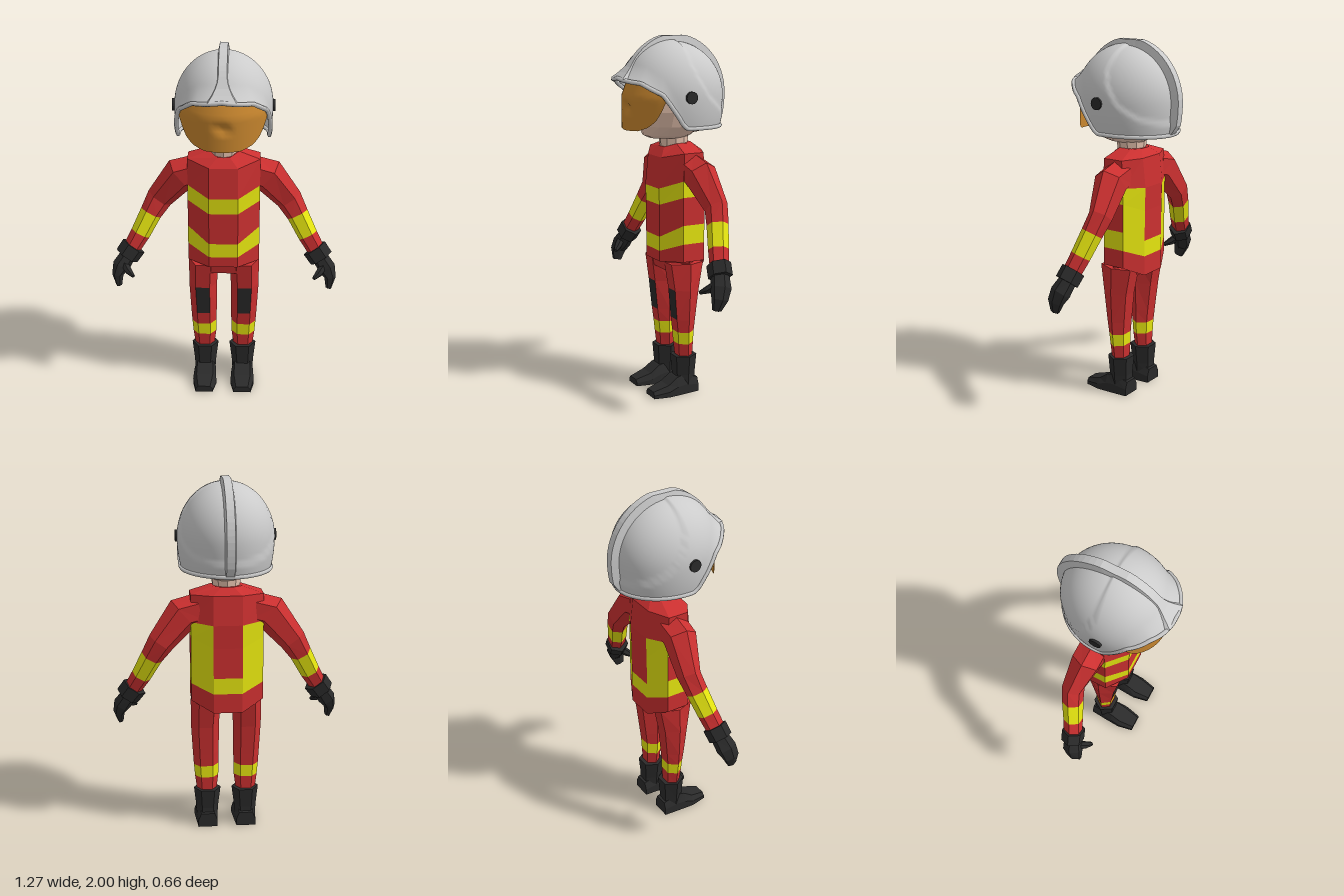
import * as THREE from 'three';

const RED = 0xcc3030, YELLOW = 0xe6e610, BLACK = 0x2a2a2a, SKIN = 0xe8c4b0,
  HAIR = 0x5a3a2c, AMBER = 0xc8862e, GREY = 0xcccccc;
const V = (x, y, z) => new THREE.Vector3(x, y, z);

function makeMesh(name, geometry, color, flat = true, doubleSided = false) {
  const mesh = new THREE.Mesh(geometry, new THREE.MeshStandardMaterial({
    color, flatShading: flat, side: doubleSided ? THREE.DoubleSide : THREE.FrontSide }));
  mesh.name = name;
  return mesh;
}

function soup(points) {
  const g = new THREE.BufferGeometry().setFromPoints(points);
  g.computeVertexNormals();
  return g;
}

// Skin closed rings into a capped solid, one mesh per colour; paint(band, column) picks the colour
function loft(name, rings, paint) {
  const byColor = new Map(), n = rings[0].length, last = rings.length - 1;
  const add = (color, ...pts) => {
    if (!byColor.has(color)) byColor.set(color, []);
    byColor.get(color).push(...pts);
  };
  const pick = typeof paint === 'function' ? paint : () => paint;
  const centre = r => r.reduce((s, p) => s.add(p), V(0, 0, 0)).divideScalar(n);
  const c0 = centre(rings[0]), c1 = centre(rings[last]);
  for (let j = 0; j < n; j++) {
    const k = (j + 1) % n;
    for (let i = 0; i < last; i++) {
      const a = rings[i][j], b = rings[i][k], c = rings[i + 1][k], d = rings[i + 1][j];
      add(pick(i, j), a, b, c, a, c, d);
    }
    add(pick(0, -1), c0, rings[0][k], rings[0][j]);
    add(pick(last - 1, -1), c1, rings[last][j], rings[last][k]);
  }
  const group = new THREE.Group();
  group.name = name;
  for (const [color, pts] of byColor) group.add(makeMesh(name, soup(pts), color));
  return group;
}

// Six-sided limb along stations [x, y, z, radius across, radius in depth], flat side to the front
function limb(name, stations, paint) {
  const c = stations.map(s => V(s[0], s[1], s[2]));
  const rings = stations.map((s, i) => {
    const d = c[Math.min(i + 1, c.length - 1)].clone().sub(c[Math.max(i - 1, 0)]).normalize();
    const v = V(0, 0, 1).addScaledVector(d, -d.z).normalize();
    const u = d.clone().cross(v);
    return Array.from({ length: 6 }, (_, j) => {
      const a = (j - 0.5) * Math.PI / 3;
      return c[i].clone().addScaledVector(v, Math.cos(a) * s[4] / 0.866).addScaledVector(u, Math.sin(a) * s[3]);
    });
  });
  return loft(name, rings, paint);
}

// Mirrored copy across x = 0 with the winding put right
function mirrored(group) {
  const copy = group.clone(true);
  copy.traverse(o => {
    if (!o.isMesh) return;
    const p = o.geometry.attributes.position, pts = [];
    for (let i = 0; i < p.count; i += 3)
      for (const k of [0, 2, 1]) pts.push(V(-p.getX(i + k), p.getY(i + k), p.getZ(i + k)));
    o.geometry = soup(pts);
  });
  return copy;
}

function lerpTable(table, x) {
  for (let i = 1; i < table.length; i++) if (x <= table[i][0]) {
    const [x0, y0] = table[i - 1], [x1, y1] = table[i];
    return y0 + (y1 - y0) * Math.max(0, (x - x0) / (x1 - x0));
  }
  return table[table.length - 1][1];
}

// Surface from a grid of points f(i, j)
function gridSurface(rows, cols, f) {
  const pts = [], index = [];
  for (let i = 0; i <= rows; i++) for (let j = 0; j <= cols; j++) {
    pts.push(f(i / rows, j / cols));
    if (i < rows && j < cols) {
      const a = i * (cols + 1) + j, b = a + cols + 1;
      index.push(a, b, b + 1, a, b + 1, a + 1);
    }
  }
  const g = new THREE.BufferGeometry().setFromPoints(pts);
  g.setIndex(index);
  g.computeVertexNormals();
  return g;
}

// Helmet shell: azimuth a (0 = front), u = angle down from the top
const MID = 1.68, RISE = 0.3;
const EDGE = [[0, 1.78], [0.6, 1.76], [1.0, 1.7], [1.42, 1.52], [Math.PI, 1.51]];
const PANEL = [[-0.28, 1.57], [-0.2, 1.6], [-0.1, 1.67], [-0.03, 1.78], [0, 1.88]];
function edgeAngle(a) {
  const e = lerpTable(EDGE, Math.abs(a));
  return e > MID ? Math.acos((e - MID) / RISE) : Math.PI / 2 + (MID - e) / RISE;
}
function shell(a, u, lift = 0) {
  const over = Math.max(0, u - Math.PI / 2);
  const y = over ? MID - over * RISE : MID + RISE * Math.cos(u);
  const c = Math.cos(a), near = Math.max(0, 1 - (edgeAngle(a) - u) / 0.3);
  let r = over ? 1 - 0.25 * over * over : Math.sin(u);
  r += 0.13 * near * near * Math.max(0, c) ** 2;
  const z = r * c * 0.3;
  // rear panel sits slightly deeper than the front
  const sunk = THREE.MathUtils.smoothstep(y - lerpTable(PANEL, z), 0, 0.025) * THREE.MathUtils.smoothstep(-z, 0, 0.02);
  const k = lift ? 1 : 1 - 0.03 * sunk;
  return V(r * Math.sin(a) * 0.265 * k, MID + (y - MID) * (y > MID ? k : 1) + lift * Math.cos(u), (z + lift * c * Math.sin(u)) * k);
}

function buildHelmet() {
  const helmet = new THREE.Group();
  helmet.name = 'helmet';
  const angle = t => (t * 2 - 1) * Math.PI;
  helmet.add(makeMesh('helmetShell', gridSurface(32, 96, (s, t) => shell(angle(t), s * edgeAngle(angle(t)))), GREY, false, true));
  const rim = Array.from({ length: 64 }, (_, i) => shell(angle(i / 64), edgeAngle(angle(i / 64))));
  helmet.add(makeMesh('helmetRim', new THREE.TubeGeometry(new THREE.CatmullRomCurve3(rim, true), 128, 0.012, 6, true), GREY, false));
  // crest from brim over the top to the nape, flared at the brim
  const rings = [], N = 32, front = edgeAngle(0), back = edgeAngle(Math.PI);
  for (let i = 0; i <= N; i++) {
    const t = i / N, w = front - t * (front + back), a = w >= 0 ? 0 : Math.PI;
    const h = 0.004 + 0.03 * THREE.MathUtils.smoothstep(t, 0.04, 0.45) * (t > 0.93 ? (1 - t) / 0.07 : 1);
    const inner = shell(a, Math.abs(w), -0.02), outer = shell(a, Math.abs(w), Math.min(h, 0.03));
    outer.y = Math.min(outer.y, 2);
    const flare = 0.05 * Math.max(0, 1 - t / 0.13) ** 2, wo = 0.022 + flare, wi = 0.032 + flare;
    rings.push([V(-wi, inner.y, inner.z), V(wi, inner.y, inner.z), V(wo, outer.y, outer.z), V(-wo, outer.y, outer.z)].reverse());
  }
  helmet.add(loft('helmetCrest', rings, GREY));
  for (const s of [-1, 1]) {
    const knob = makeMesh('visorPivot', new THREE.CylinderGeometry(0.033, 0.033, 0.03, 16), BLACK);
    knob.rotation.z = Math.PI / 2;
    knob.position.set(s * 0.26, 1.685, 0.02);
    helmet.add(knob);
  }
  // visor with a small notch over the nose
  const lower = [[0, 1.5], [0.1, 1.505], [0.16, 1.53], [0.2, 1.575], [0.23, 1.66]];
  helmet.add(makeMesh('visor', gridSurface(12, 24, (s, t) => {
    const x = (t * 2 - 1) * 0.23, y = 1.765 + (lerpTable(lower, Math.abs(x)) - 1.765) * s;
    const notch = Math.max(0, 1 - Math.abs(y - 1.625) / 0.035) * Math.max(0, 1 - Math.abs(x) / 0.06);
    return V(x, y, 0.275 - 0.12 * (x / 0.23) ** 2 - 0.03 * notch - 0.4 * Math.max(0, y - 1.68));
  }), AMBER, false, true));
  return helmet;
}

function buildHead() {
  const head = new THREE.Group();
  head.name = 'head';
  // rows: height, half width, back z, front z
  const rows = [[1.45, 0.08, -0.09, 0.13], [1.465, 0.11, -0.12, 0.165], [1.52, 0.165, -0.16, 0.185],
    [1.6, 0.195, -0.2, 0.2], [1.72, 0.2, -0.21, 0.2], [1.84, 0.14, -0.15, 0.14]];
  const at = ([y, w, b, f], a, k = 1) => V(Math.sin(a) * w * k, y, (b + f) / 2 + Math.cos(a) * (f - b) / 2 * k);
  head.add(loft('face', rows.map(r => Array.from({ length: 16 }, (_, j) => at(r, j * Math.PI / 8))), SKIN));
  head.add(makeMesh('hair', gridSurface(2, 10, (s, t) =>
    at(rows[4 - Math.round(s * 2)], Math.PI * (0.6 + 0.8 * t), 1.05).setY(1.72 - 0.23 * s), ), HAIR, true, true));
  const nose = makeMesh('nose', new THREE.ConeGeometry(0.025, 0.05, 4), SKIN);
  nose.position.set(0, 1.62, 0.205);
  head.add(nose);
  const neck = makeMesh('neck', new THREE.CylinderGeometry(0.085, 0.075, 0.1, 10), SKIN);
  neck.position.set(0, 1.43, -0.015);
  head.add(neck);
  return head;
}

function buildJacket() {
  // rows: front, side and back heights, then width and depth scale
  const rows = [[0.77, 0.78, 0.72, 1, 1], [0.83, 0.88, 0.83, 1, 1], [0.91, 0.985, 0.92, 1, 1], [1.09, 1.14, 1.09, 1, 1],
    [1.18, 1.23, 1.22, 1, 1.03], [1.35, 1.38, 1.38, 1, 0.9], [1.4, 1.42, 1.42, 0.42, 0.6]];
  const rings = rows.map(([f, m, b, w, d]) => {
    const p = (x, y, z) => V(x * w, y, -0.02 + z * d);
    return [p(-0.08, f, 0.135), p(0.08, f, 0.135), p(0.2, m, 0.05), p(0.2, m, -0.08),
      p(0.08, b, -0.14), p(-0.08, b, -0.14), p(-0.2, m, -0.08), p(-0.2, m, 0.05)];
  });
  return loft('jacket', rings, (i, j) => {
    const backStrap = j === 3 || j === 5;
    const chest = i === 3 && j >= 0 && j !== 4;
    return (i === 1 && j >= 0) || chest || (backStrap && (i === 2 || i === 3)) ? YELLOW : RED;
  });
}

function buildArm() {
  const arm = new THREE.Group();
  arm.name = 'arm';
  arm.add(limb('sleeve', [[0.15, 1.29, -0.045, 0.09, 0.075], [0.24, 1.265, -0.05, 0.1, 0.075], [0.365, 1.11, -0.075, 0.075, 0.052],
    [0.415, 1.025, -0.055, 0.062, 0.05], [0.475, 0.91, -0.025, 0.056, 0.047], [0.52, 0.835, -0.005, 0.05, 0.045]],
  i => i === 3 ? YELLOW : RED));
  arm.add(limb('gloveCuff', [[0.512, 0.84, -0.005, 0.072, 0.055], [0.553, 0.783, 0.008, 0.07, 0.055]], BLACK));
  arm.add(limb('glove', [[0.545, 0.79, 0.005, 0.045, 0.042], [0.585, 0.73, 0.025, 0.05, 0.05],
    [0.605, 0.68, 0.042, 0.032, 0.042], [0.597, 0.62, 0.055, 0.016, 0.024]], BLACK));
  arm.add(limb('thumb', [[0.575, 0.76, 0.03, 0.025, 0.022], [0.538, 0.72, 0.075, 0.022, 0.02], [0.508, 0.7, 0.106, 0.01, 0.01]], BLACK));
  return arm;
}

function buildLeg() {
  const leg = new THREE.Group();
  leg.name = 'leg';
  leg.add(limb('trouserLeg', [[0.112, 0.2, -0.02, 0.055, 0.04], [0.112, 0.295, -0.017, 0.067, 0.046], [0.114, 0.365, -0.015, 0.071, 0.05],
    [0.116, 0.44, -0.014, 0.074, 0.058], [0.12, 0.61, -0.015, 0.08, 0.075], [0.115, 0.76, -0.018, 0.085, 0.1]],
  (i, j) => i === 1 ? YELLOW : i === 3 && j === 0 ? BLACK : RED));
  leg.add(limb('bootShaft', [[0.11, 0.05, -0.02, 0.06, 0.058], [0.11, 0.11, -0.02, 0.064, 0.056], [0.109, 0.22, -0.02, 0.077, 0.064]], BLACK));
  // foot sections: z, half width, top height
  const foot = [[-0.09, 0.055, 0.08], [0, 0.062, 0.11], [0.045, 0.065, 0.1], [0.1, 0.068, 0.062], [0.19, 0.05, 0.036]];
  leg.add(loft('bootFoot', foot.map(([z, w, t]) => [[-0.7, 1], [-1, 0.5], [-1, 0], [1, 0], [1, 0.5], [0.7, 1]]
    .map(([x, y]) => V(0.11 + x * w, y * t, z))), BLACK));
  return leg;
}

export function createModel() {
  const model = new THREE.Group();
  model.name = 'firefighter';
  const arm = buildArm(), leg = buildLeg();
  model.add(buildHelmet(), buildHead(), buildJacket(), arm, mirrored(arm), leg, mirrored(leg));
  model.add(limb('trouserSeat', [[0, 0.71, -0.02, 0.17, 0.09], [0, 0.82, -0.02, 0.19, 0.11]], RED));
  return model;
}
